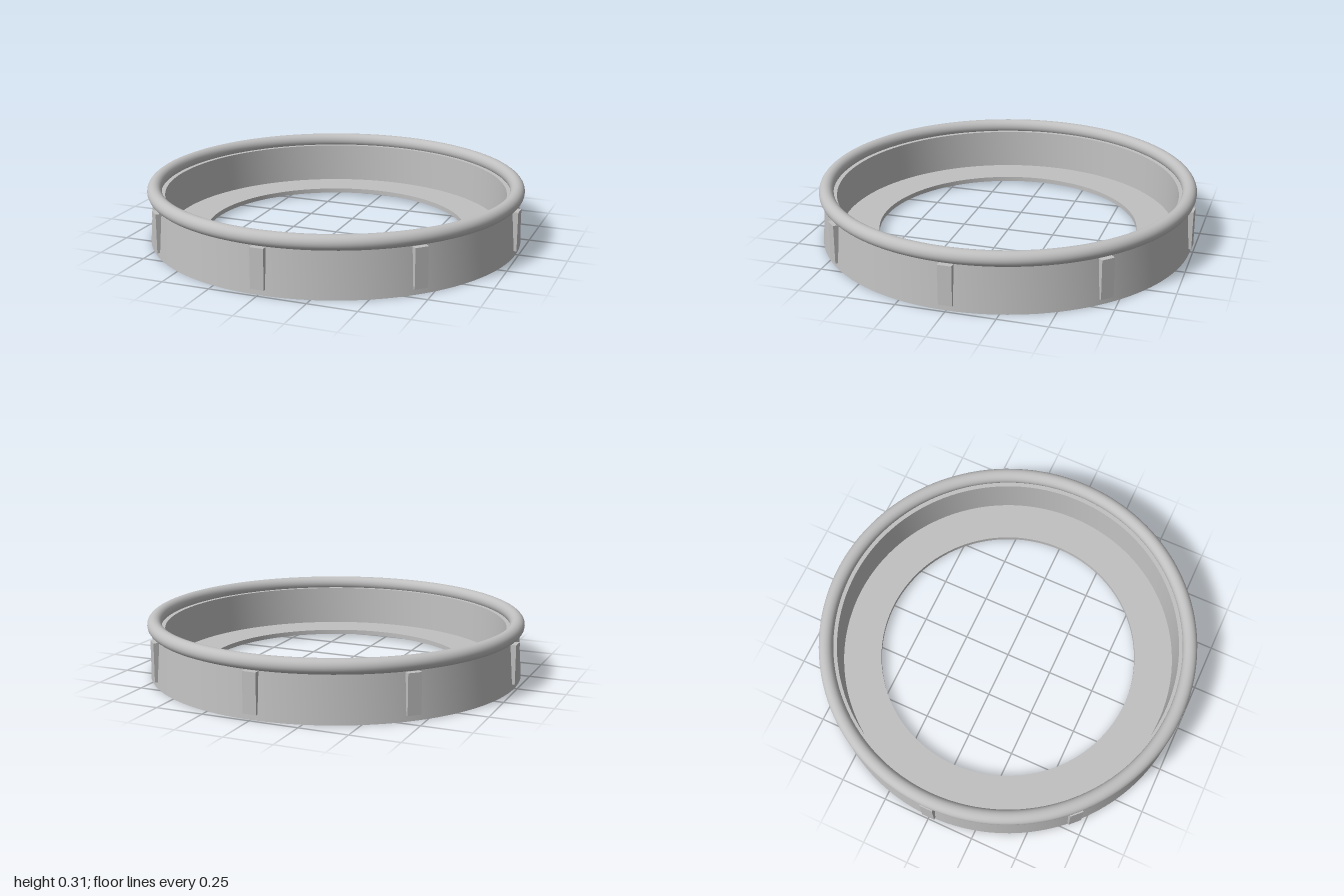
import * as THREE from 'three';
import { toCreasedNormals } from 'three/addons/utils/BufferGeometryUtils.js';

const SEGMENTS = 128;

// Turned ring from a closed profile of [radius, height], counterclockwise
function turned(profile) {
  const points = [...profile, profile[0]].map(([r, y]) => new THREE.Vector2(r, y));
  return toCreasedNormals(new THREE.LatheGeometry(points, SEGMENTS), 0.6);
}

export function createModel() {
  const model = new THREE.Group();
  model.name = 'ringCollar';
  const grey = new THREE.MeshStandardMaterial({ color: 0xc0c0c0 });
  grey.name = 'grey';

  const add = (name, geometry, parent = model) => {
    const mesh = new THREE.Mesh(geometry, grey);
    mesh.name = name;
    parent.add(mesh);
    return mesh;
  };

  // Double wall: tapered skirt, narrow groove underneath, inner cup with floor flange
  add('body', turned([
    [0.922, 0], [0.985, 0], [0.966, 0.25], [0.903, 0.25],
    [0.893, 0.04], [0.69, 0.04], [0.69, 0.015], [0.902, 0.015],
    [0.908, 0.2], [0.922, 0.2],
  ]));

  // Rounded rim bead
  const rim = add('rim', new THREE.TorusGeometry(0.957, 0.038, 24, SEGMENTS));
  rim.rotation.x = Math.PI / 2;
  rim.position.y = 0.273;

  // Eight upright ribs passing through the skirt
  const ribs = new THREE.Group();
  ribs.name = 'ribs';
  model.add(ribs);
  const ribGeometry = new THREE.BoxGeometry(0.07, 0.205, 0.082);
  for (let i = 0; i < 8; i++) {
    const angle = (i * Math.PI) / 4;
    const rib = add('rib', ribGeometry, ribs);
    rib.position.set(Math.sin(angle) * 0.955, 0.1325, Math.cos(angle) * 0.955);
    rib.rotation.y = angle;
  }

  return model;
}
